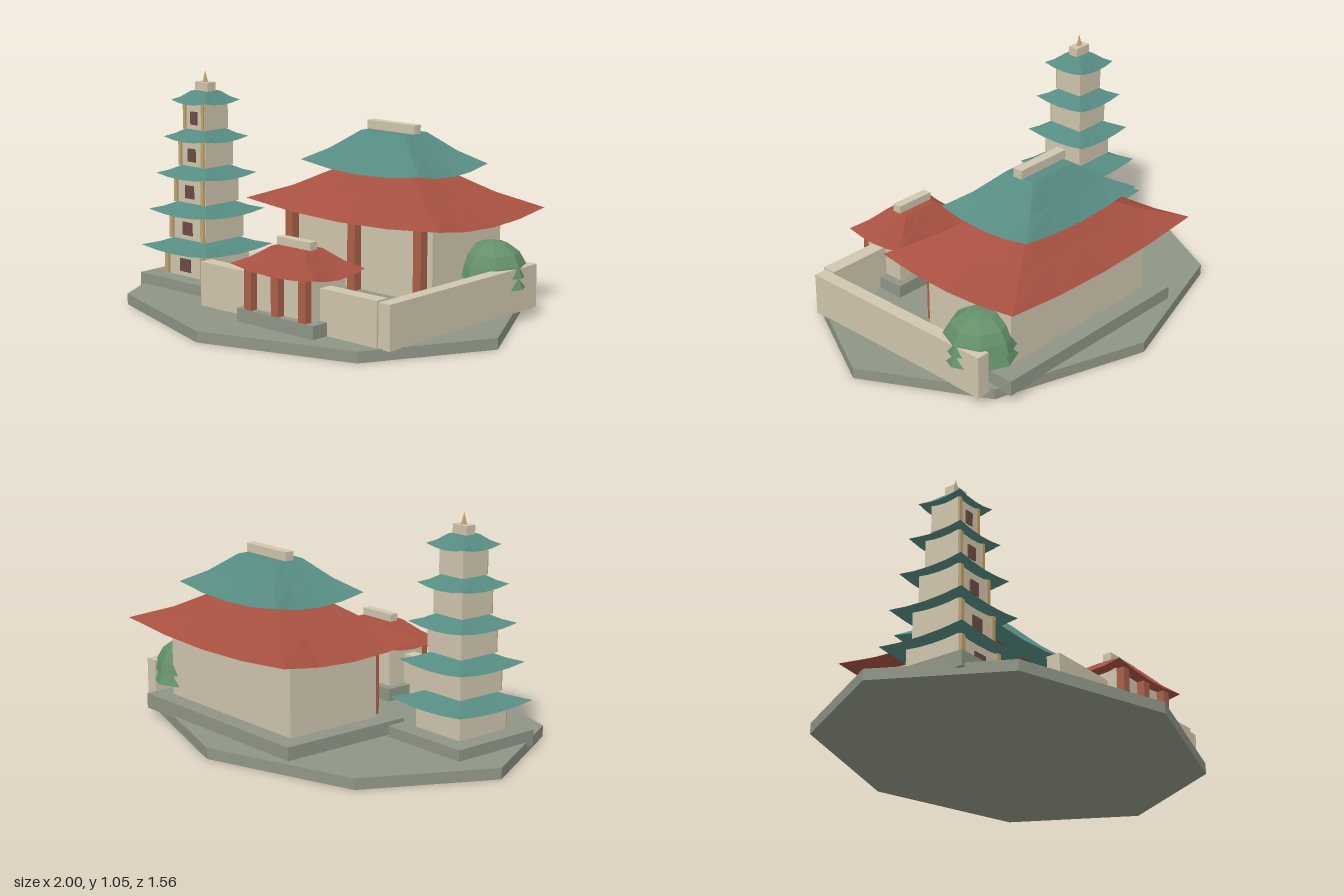
import * as THREE from 'three';

const paint = (color) => new THREE.MeshStandardMaterial({ color, flatShading: true });
const STONE = paint(0x8f9686), PLASTER = paint(0xd0c6ae), RED = paint(0xa65040), PILLAR = paint(0xaa6048);
const TEAL = paint(0x568c82), TAN = paint(0xbfa470), WINDOW = paint(0x6b4c44), LEAF = paint(0x64906a), BARK = paint(0x5c4636);

function add(parent, name, geometry, material, x = 0, y = 0, z = 0) {
  const mesh = new THREE.Mesh(geometry, material);
  mesh.name = name;
  mesh.position.set(x, y, z);
  parent.add(mesh);
  return mesh;
}

// Box standing on y0 and reaching y1, centred on x and z
function block(parent, name, material, x, z, w, d, y0, y1) {
  return add(parent, name, new THREE.BoxGeometry(w, y1 - y0, d), material, x, (y0 + y1) / 2, z);
}

// Hipped roof: rectangular rings from eave to top, with the eave corners swept up
function roofGeometry(w, d, h, lift, topX, topZ) {
  const steps = 4;
  const corners = [[-1, 1], [1, 1], [1, -1], [-1, -1]];
  const ring = (t) => {
    const points = [];
    const hw = w / 2 * (1 - t * (1 - topX)), hd = d / 2 * (1 - t * (1 - topZ));
    const rise = h * (0.9 * t + 0.1 * t * t);
    for (let s = 0; s < 4; s++) {
      const [ax, az] = corners[s], [bx, bz] = corners[(s + 1) % 4];
      for (let i = 0; i < steps; i++) {
        const f = i / steps, u = 2 * f - 1;
        points.push(new THREE.Vector3(
          hw * (ax + (bx - ax) * f),
          rise + lift * u * u * (1 - t) ** 2,
          hd * (az + (bz - az) * f)));
      }
    }
    return points;
  };
  const rings = [0, 0.5, 1].map(ring);
  const out = [];
  const tri = (...p) => p.forEach((v) => out.push(v.x, v.y, v.z));
  const n = steps * 4, low = new THREE.Vector3(), high = new THREE.Vector3(0, h, 0);
  for (let i = 0; i < n; i++) {
    const j = (i + 1) % n;
    for (let r = 0; r < 2; r++) {
      const a = rings[r], b = rings[r + 1];
      tri(a[i], a[j], b[j]);
      tri(a[i], b[j], b[i]);
    }
    tri(high, rings[2][i], rings[2][j]);
    tri(low, rings[0][j], rings[0][i]);
  }
  const g = new THREE.BufferGeometry();
  g.setAttribute('position', new THREE.Float32BufferAttribute(out, 3));
  g.computeVertexNormals();
  return g;
}

function roof(parent, name, material, x, z, w, d, y0, y1, lift, topX = 0.37, topZ = 0.32) {
  return add(parent, name, roofGeometry(w, d, y1 - y0, lift, topX, topZ), material, x, y0, z);
}

function group(parent, name) {
  const g = new THREE.Group();
  g.name = name;
  parent.add(g);
  return g;
}

function buildHall(parent) {
  const g = group(parent, 'mainHall'), x = 0.16, z = -0.305;
  block(g, 'hallPlatform', STONE, x, -0.3, 1.05, 0.65, 0.04, 0.11);
  block(g, 'hallBody', PLASTER, x, -0.3, 0.87, 0.48, 0.11, 0.46);
  for (const dx of [-0.383, 0, 0.383]) block(g, 'hallPillar', PILLAR, x + dx, -0.04, 0.045, 0.045, 0.11, 0.45);
  roof(g, 'hallLowerRoof', RED, x, z, 1.15, 0.75, 0.435, 0.63, 0.035);
  roof(g, 'hallUpperRoof', TEAL, x, z, 0.70, 0.49, 0.63, 0.80, 0.03);
  block(g, 'hallRidge', PLASTER, x, z, 0.28, 0.045, 0.80, 0.84);
}

function buildGate(parent) {
  const g = group(parent, 'gatehouse'), x = 0.235, z = 0.41;
  block(g, 'gatePlatform', STONE, x, z, 0.45, 0.28, 0.04, 0.11);
  block(g, 'gateBody', PLASTER, x, z, 0.37, 0.205, 0.11, 0.30);
  for (const dx of [-0.16, 0, 0.16]) block(g, 'gatePillar', PILLAR, x + dx, 0.53, 0.042, 0.038, 0.11, 0.295);
  roof(g, 'gateRoof', RED, x, z, 0.49, 0.32, 0.285, 0.39, 0.022, 0.39, 0.36);
  block(g, 'gateRidge', PLASTER, x, z, 0.195, 0.042, 0.39, 0.425);
}

function buildPagoda(parent) {
  const g = group(parent, 'pagoda'), x = -0.607, z = 0.14;
  block(g, 'pagodaPlatform', STONE, x, z, 0.445, 0.445, 0.03, 0.10);
  for (let i = 0; i < 5; i++) {
    const y = 0.10 + 0.171 * i;
    const w = 0.275 - 0.0325 * i, eave = 0.435 - 0.0525 * i;
    const front = z + w / 2, post = 0.024 - 0.002 * i;
    block(g, 'pagodaTier', PLASTER, x, z, w, w, y, y + 0.135);
    for (const side of [-1, 1]) {
      block(g, 'pagodaPost', TAN, x + side * (w / 2 - post * 0.75), front, post, post, y, y + 0.13);
    }
    const size = 0.07 - 0.007 * i;
    block(g, 'pagodaWindow', WINDOW, x, front, size, 0.012, y + 0.022, y + 0.083);
    roof(g, 'pagodaRoof', TEAL, x, z, eave, eave, y + 0.118, y + 0.175, 0.015, 0.42, 0.42);
  }
  block(g, 'pagodaCap', PLASTER, x, z, 0.085, 0.05, 0.95, 1.0);
  add(g, 'pagodaFinial', new THREE.ConeGeometry(0.013, 0.052, 6), TAN, x, 1.026, z);
}

function buildTree(parent) {
  const g = group(parent, 'tree'), x = 0.647, z = -0.41;
  add(g, 'treeTrunk', new THREE.CylinderGeometry(0.015, 0.02, 0.2, 6), BARK, x, 0.1, z);
  // Domed crown above two overhanging skirts
  const profile = [[0, 0.15], [0.172, 0.15], [0.15, 0.2], [0.168, 0.2], [0.152, 0.25],
    [0.125, 0.298], [0.07, 0.338], [0, 0.35]];
  add(g, 'treeCrown', new THREE.LatheGeometry(profile.map(([r, y]) => new THREE.Vector2(r, y)), 8), LEAF, x, 0, z);
}

export function createModel() {
  const model = new THREE.Group();
  model.name = 'templeCourtyard';

  // Octagonal ground slab
  const slab = new THREE.CylinderGeometry(1, 1, 0.05, 8);
  slab.scale(1, 1, 0.78);
  add(model, 'groundSlab', slab, STONE, 0, 0.025, 0);

  // Courtyard walls
  block(model, 'frontWall', PLASTER, 0.215, 0.432, 1.04, 0.066, 0.045, 0.25);
  block(model, 'sideWall', PLASTER, 0.766, -0.045, 0.062, 1.0, 0.045, 0.242);

  buildHall(model);
  buildGate(model);
  buildPagoda(model);
  buildTree(model);
  return model;
}
